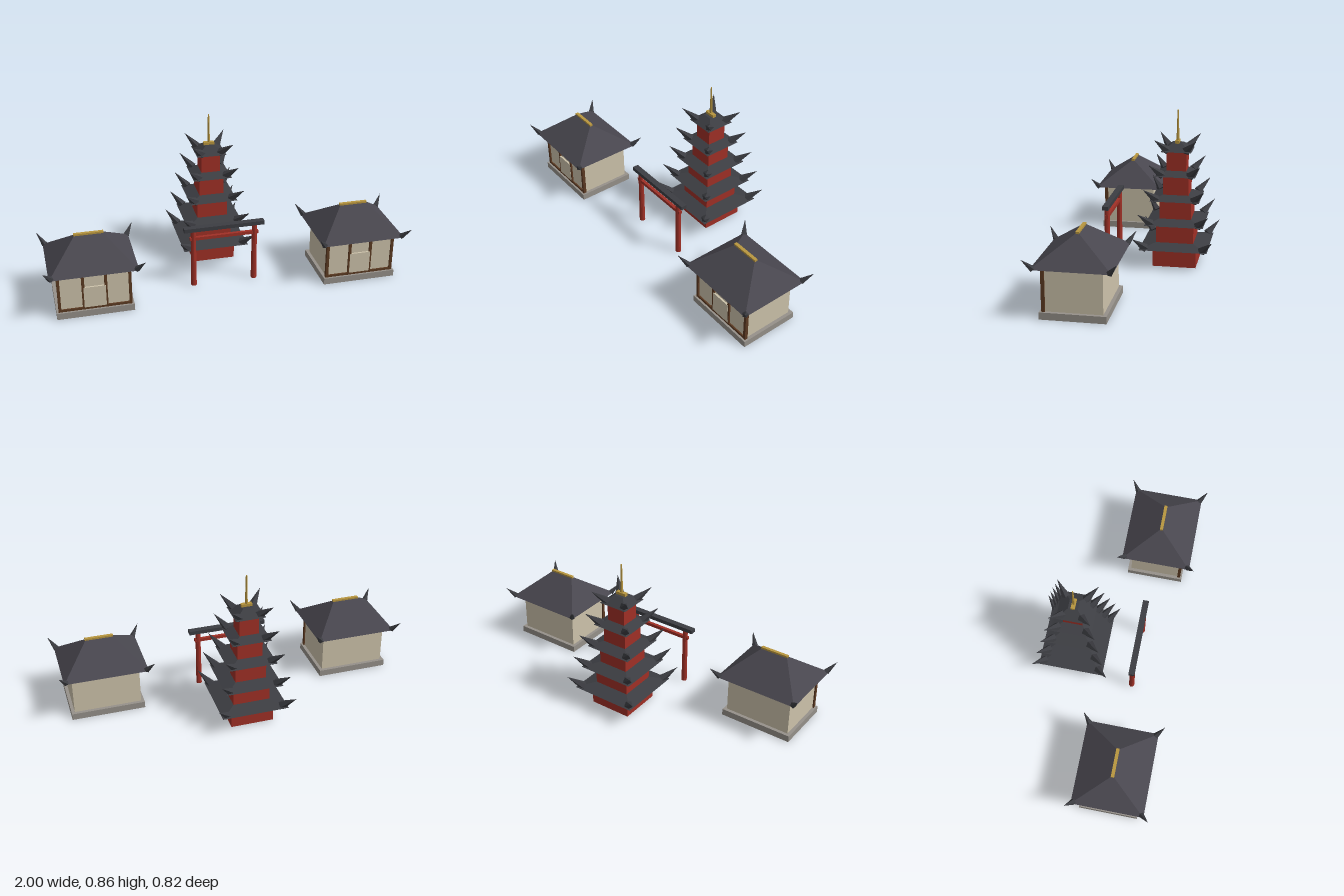
import * as THREE from 'three';

const material = (name, color) => {
  const m = new THREE.MeshStandardMaterial({ color, flatShading: true });
  m.name = name;
  return m;
};

export function createModel() {
  const red = material('red lacquer', 0xa03026);
  const tile = material('dark roof tile', 0x3c3d42);
  const slate = material('hall roof slate', 0x48464e);
  const plaster = material('cream plaster', 0xcdc3ab);
  const wood = material('brown wood', 0x5c3a22);
  const stone = material('grey stone', 0x96918a);
  const gold = material('gold', 0xb8963f);

  const add = (parent, name, geometry, mat, x = 0, y = 0, z = 0) => {
    const mesh = new THREE.Mesh(geometry, mat);
    mesh.name = name;
    mesh.position.set(x, y, z);
    parent.add(mesh);
    return mesh;
  };

  // box given by its bottom and top heights
  const block = (parent, name, mat, w, d, y0, y1, x = 0, z = 0) =>
    add(parent, name, new THREE.BoxGeometry(w, y1 - y0, d), mat, x, (y0 + y1) / 2, z);

  // hipped roof: a box whose top face is drawn in
  const hipRoof = (parent, name, mat, [bx, bz], [tx, tz], y0, y1) => {
    const geo = new THREE.BoxGeometry(2 * bx, y1 - y0, 2 * bz);
    const p = geo.attributes.position;
    for (let i = 0; i < p.count; i++) {
      if (p.getY(i) > 0) {
        p.setX(i, Math.sign(p.getX(i)) * tx);
        p.setZ(i, Math.sign(p.getZ(i)) * tz);
      }
    }
    geo.computeVertexNormals();
    return add(parent, name, geo, mat, 0, (y0 + y1) / 2, 0);
  };

  // upswept spikes on the four roof corners, from base to tip
  const horns = (parent, radius, base, tip) => {
    for (const sx of [-1, 1]) for (const sz of [-1, 1]) {
      const a = new THREE.Vector3(base[0] * sx, base[1], base[2] * sz);
      const b = new THREE.Vector3(tip[0] * sx, tip[1], tip[2] * sz);
      const dir = b.clone().sub(a);
      const horn = add(parent, 'cornerHorn', new THREE.ConeGeometry(radius, dir.length(), 5), tile);
      horn.position.copy(a.add(b).multiplyScalar(0.5));
      horn.quaternion.setFromUnitVectors(new THREE.Vector3(0, 1, 0), dir.normalize());
    }
  };

  const model = new THREE.Group();
  model.name = 'templeGrounds';

  // five-storey pagoda
  const pagoda = new THREE.Group();
  pagoda.name = 'pagoda';
  pagoda.position.z = -0.19;
  model.add(pagoda);
  for (let i = 0; i < 5; i++) {
    const eaveY = 0.11 + 0.1325 * i;
    const half = 0.12 - 0.0165 * i;
    const eave = 0.187 - 0.026 * i;
    const last = i === 4;
    block(pagoda, 'storey', red, 2 * half, 2 * half, i ? eaveY - 0.115 : 0, eaveY);
    const top = last ? 0.027 : half - 0.016;
    hipRoof(pagoda, 'tierRoof', tile, [eave, eave], [top, top], eaveY, eaveY + (last ? 0.04 : 0.024));
    const b = eave - 0.031, t = eave + 0.031;
    horns(pagoda, 0.025, [b, eaveY + 0.005, b], [t, eaveY + 0.072, t]);
  }
  block(pagoda, 'spireBase', gold, 0.06, 0.022, 0.678, 0.695);
  add(pagoda, 'spire', new THREE.CylinderGeometry(0.004, 0.008, 0.17, 6), gold, 0, 0.775, 0);

  // gateway
  const gate = new THREE.Group();
  gate.name = 'gateway';
  gate.position.z = 0.172;
  model.add(gate);
  for (const s of [-1, 1]) {
    add(gate, 'gatePost', new THREE.CylinderGeometry(0.014, 0.016, 0.34, 10), red, s * 0.172, 0.17, 0);
  }
  block(gate, 'tieBeam', red, 0.385, 0.018, 0.282, 0.3);
  block(gate, 'lintel', tile, 0.45, 0.034, 0.338, 0.36);

  // two matching halls
  for (const side of [-1, 1]) {
    const hall = new THREE.Group();
    hall.name = side < 0 ? 'rightHall' : 'leftHall';
    hall.position.set(side * 0.737, 0, 0.181);
    model.add(hall);
    block(hall, 'plinth', stone, 0.412, 0.332, 0, 0.037);
    block(hall, 'walls', plaster, 0.376, 0.294, 0.037, 0.262);
    for (const x of [-0.188, -0.06, 0.06, 0.188]) {
      block(hall, 'frontPost', wood, 0.015, 0.018, 0.037, 0.262, x, 0.147);
    }
    block(hall, 'sillRail', wood, 0.376, 0.012, 0.037, 0.05, 0, 0.149);
    block(hall, 'doorPanel', plaster, 0.117, 0.012, 0.05, 0.17, 0, 0.151);
    hipRoof(hall, 'hallRoof', slate, [0.234, 0.2], [0.075, 0.006], 0.26, 0.402);
    block(hall, 'ridge', gold, 0.158, 0.018, 0.396, 0.41);
    horns(hall, 0.017, [0.222, 0.263, 0.187], [0.263, 0.32, 0.228]);
  }

  return model;
}
